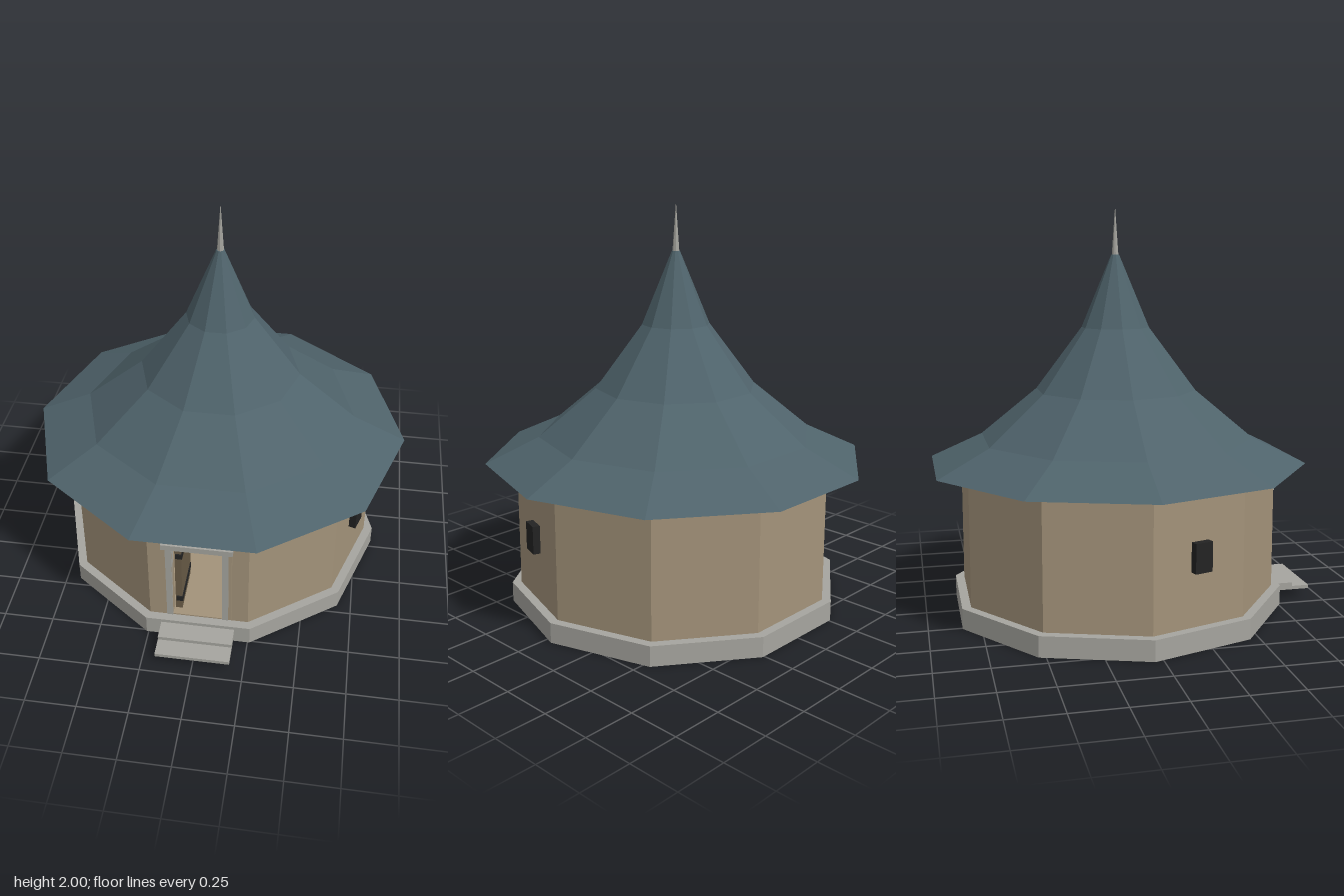
import * as THREE from 'three';

const SIDES = 10, START = Math.PI / SIDES, APO = Math.cos(START);

function material(name, color, extra = {}) {
  const m = new THREE.MeshStandardMaterial({ color, flatShading: true, ...extra });
  m.name = name;
  return m;
}

export function createModel() {
  const roofBlue = material('slate blue roof', 0x4f636b);
  const plaster = material('tan wall', 0xa3937a);
  const stone = material('grey stone', 0xa6a59f);
  const wood = material('brown wood', 0x6b5d48);
  const dark = material('black shutter', 0x232323);

  const model = new THREE.Group();
  model.name = 'pavilion';
  model.position.z = -0.04;
  const root = new THREE.Group();
  root.add(model);

  const add = (name, geometry, mat, x = 0, y = 0, z = 0, parent = model) => {
    const mesh = new THREE.Mesh(geometry, mat);
    mesh.name = name;
    mesh.position.set(x, y, z);
    parent.add(mesh);
    return mesh;
  };
  // Box given by its limits on each axis
  const block = (name, mat, x0, x1, y0, y1, z0, z1) => add(name,
    new THREE.BoxGeometry(x1 - x0, y1 - y0, z1 - z0), mat,
    (x0 + x1) / 2, (y0 + y1) / 2, (z0 + z1) / 2);
  // Ten-sided turned shape with a flat face to the front; 9 segments leave the front open
  const turned = (name, mat, profile, segments = SIDES) => add(name,
    new THREE.LatheGeometry(profile.map(p => new THREE.Vector2(...p)), segments, START,
      segments * 2 * START), mat);
  const ring = (rIn, rOut, y0, y1) => [[rIn, y0], [rOut, y0], [rOut, y1], [rIn, y1], [rIn, y0]];

  // Plinth, floor and steps
  turned('plinth', stone, [[0, 0], [0.84, 0], [0.84, 0.1], [0, 0.1]]);
  turned('floor', plaster, [[0, 0.1], [0.76, 0.1], [0.76, 0.124], [0, 0.124]]);
  block('lowerStep', stone, -0.183, 0.183, 0.045, 0.063, 0.78, 0.985);
  block('upperStep', stone, -0.183, 0.183, 0.063, 0.082, 0.78, 0.895);

  // Nine closed walls and the front wall with its doorway
  const R = 0.795, half = R * Math.sin(START), front = R * APO;
  turned('walls', plaster, ring(0.755, R, 0.1, 0.735), 9);
  const pierced = (w, y0, depth) => {
    const shape = new THREE.Shape();
    shape.moveTo(-w, y0).lineTo(w, y0).lineTo(w, 0.735).lineTo(-w, 0.735).closePath();
    const hole = new THREE.Path();
    hole.moveTo(-0.125, 0.13).lineTo(-0.125, 0.575).lineTo(0.122, 0.575).lineTo(0.122, 0.13).closePath();
    shape.holes.push(hole);
    return new THREE.ExtrudeGeometry(shape, { depth, bevelEnabled: false });
  };
  add('frontWall', pierced(half, 0.1, 0.038), plaster, 0, 0, front - 0.038);
  add('entrancePanel', pierced(0.165, 0.125, 0.02), plaster, 0, 0, front);

  // Cornice, broken above the doorway
  turned('cornice', stone, ring(0.77, 0.81, 0.705, 0.735), 9);
  for (const s of [-1, 1]) {
    const a = s * 0.165, b = s * 0.25;
    block('corniceEnd', stone, Math.min(a, b), Math.max(a, b), 0.71, 0.735, 0.74, 0.81 * APO);
  }

  // Door frame, open door leaf and hinges
  block('leftJamb', stone, 0.12, 0.15, 0.125, 0.575, 0.72, 0.781);
  block('rightJamb', stone, -0.155, -0.125, 0.125, 0.575, 0.72, 0.781);
  block('lintel', stone, -0.175, 0.17, 0.575, 0.605, 0.72, 0.787);
  block('doorLeaf', wood, -0.118, -0.085, 0.13, 0.56, 0.49, 0.735);
  for (const y of [0.2, 0.49])
    block('hinge', dark, -0.114, -0.08, y - 0.014, y + 0.014, 0.5, 0.742);

  // Plain furniture inside
  block('tableTop', plaster, 0, 0.3, 0.262, 0.28, -0.1, 0.2);
  for (const x of [0.015, 0.27])
    block('tableLeg', plaster, x, x + 0.02, 0.124, 0.262, -0.08, 0.18);
  block('stool', plaster, -0.08, -0.02, 0.124, 0.215, 0.0, 0.08);

  // Shutter boxes on the two side walls nearest the front
  for (const s of [-1, 1]) {
    const angle = s * 4 * START;
    const pivot = new THREE.Group();
    pivot.name = s > 0 ? 'leftWindow' : 'rightWindow';
    pivot.rotation.y = angle;
    add('shutter', new THREE.BoxGeometry(0.09, 0.14, 0.042), dark, 0, 0.43, front + 0.015, pivot);
    model.add(pivot);
  }

  // Flared tent roof and spire
  turned('roof', roofBlue, [[0, 0.735], [0.95, 0.735], [0.685, 0.86], [0.4, 1.095],
    [0.168, 1.405], [0.02, 1.76], [0, 1.76]]);
  add('spire', new THREE.ConeGeometry(0.017, 0.24, 8), stone, 0, 1.875, 0);

  return root;
}
